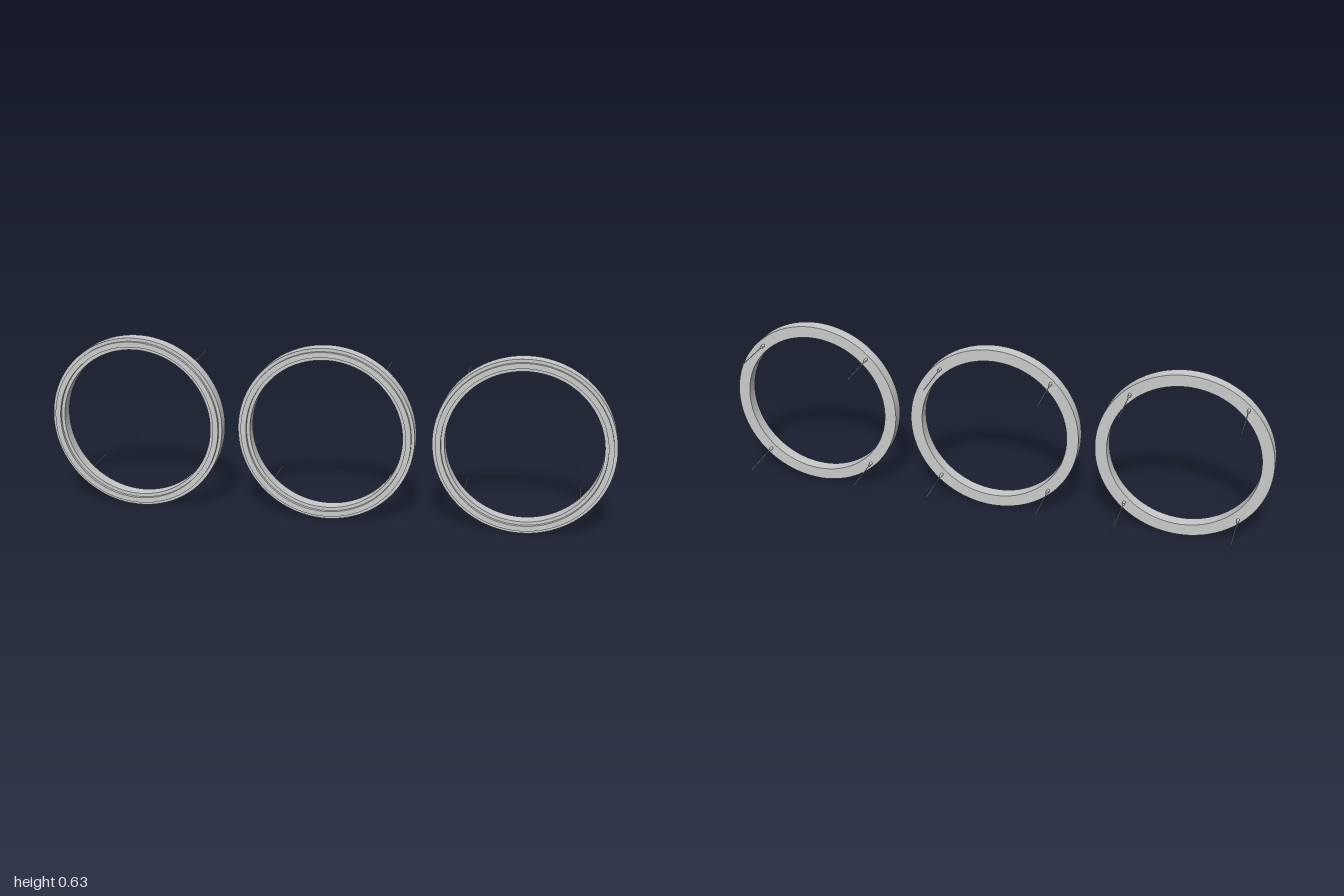
import * as THREE from 'three';
import { toCreasedNormals } from 'three/addons/utils/BufferGeometryUtils.js';

const R = 0.3135;       // outer ring radius
const SPACING = 0.6865; // distance between ring centres
const BACK = 0.06, FACE = 0.105, FRONT = 0.116, CABLE_END = -0.116;

// Lathe around z; profile points are [radius, z]
function latheZ(points, segments) {
  const geometry = new THREE.LatheGeometry(points.map(([r, z]) => new THREE.Vector2(r, z)), segments);
  geometry.rotateX(Math.PI / 2);
  return toCreasedNormals(geometry, 0.5);
}

export function createModel() {
  const model = new THREE.Group();
  const material = new THREE.MeshStandardMaterial({ color: 0xcccccc });

  // Rectangular ring housing and the narrower diffuser standing proud of it
  const housing = latheZ([[0.271, BACK], [R, BACK], [R, FACE], [0.271, FACE], [0.271, BACK]], 96);
  const diffuser = latheZ([[0.302, FACE - 0.002], [0.302, FRONT], [0.283, FRONT], [0.283, FACE - 0.002]], 96);

  // Cable gripper: short barrel with a tapered tip
  const gripper = latheZ([[0, 0.028], [0.0022, 0.03], [0.0045, 0.043], [0.0052, 0.043], [0.0052, BACK], [0, BACK]].map(
    ([r, z]) => [r, z]), 16);
  const cable = latheZ([[0, CABLE_END], [0.0017, CABLE_END], [0.0017, 0.035], [0, 0.035]], 10);

  for (let i = -1; i <= 1; i++) {
    const lamp = new THREE.Group();
    lamp.name = 'ringLamp';
    lamp.position.set(i * SPACING, R, 0);
    const add = (geometry, name, x = 0, y = 0) => {
      const mesh = new THREE.Mesh(geometry, material);
      mesh.name = name;
      mesh.position.set(x, y, 0);
      lamp.add(mesh);
    };
    add(housing, 'ringHousing');
    add(diffuser, 'diffuser');

    // Four suspension points on the back face
    for (const x of [-0.208, 0.198]) {
      for (const y of [-0.215, 0.215]) {
        add(gripper, 'cableGripper', x, y);
        add(cable, 'suspensionCable', x, y);
      }
    }
    model.add(lamp);
  }
  return model;
}
